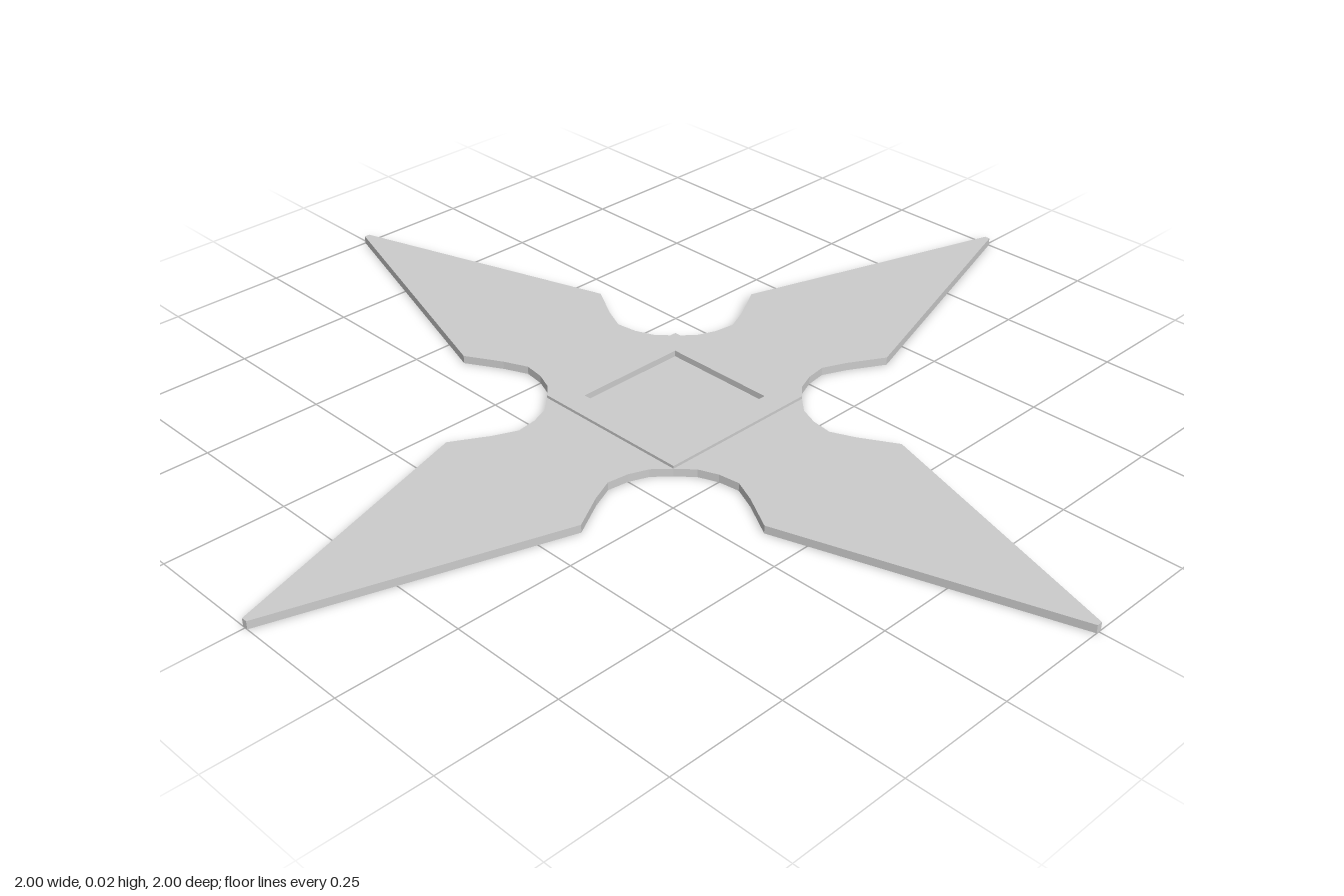
import * as THREE from 'three';

const BLADE_TOP = 0.017, HUB_TOP = 0.023, FLOOR = 0.01;
const HUB = 0.177, RECESS = 0.125;

// Square outline centred on the origin, usable as shape or hole
function square(half, Type = THREE.Shape) {
  return new Type([[-half, -half], [half, -half], [half, half], [-half, half]]
    .map(([x, y]) => new THREE.Vector2(x, y)));
}

// Extrudes a flat shape upwards from y0 to y1
function slab(name, shape, y0, y1, material) {
  const geometry = new THREE.ExtrudeGeometry(shape, { depth: y1 - y0, bevelEnabled: false });
  geometry.rotateX(-Math.PI / 2);
  geometry.translate(0, y0, 0);
  const mesh = new THREE.Mesh(geometry, material);
  mesh.name = name;
  return mesh;
}

// Four pointed blades joined by concave necks
function starOutline() {
  const half = [[1, 0.006], [0.42, 0.19], [0.345, 0.147], [0.295, 0.125],
    [0.25, 0.131], [0.21, 0.147], [HUB, HUB]];
  const quarter = [...half, ...half.slice(0, -1).reverse().map(([x, y]) => [y, x])];
  const points = [];
  for (let i = 0; i < 4; i++) {
    const turn = i * Math.PI / 2;
    for (const [x, y] of quarter) {
      points.push(new THREE.Vector2(x, y).rotateAround(new THREE.Vector2(), turn));
    }
  }
  return new THREE.Shape(points);
}

export function createModel() {
  const model = new THREE.Group();
  model.name = 'throwingStar';
  const material = new THREE.MeshStandardMaterial({ color: 0xcccccc, flatShading: true });

  // Thin star body, open under the recess
  const star = starOutline();
  star.holes.push(square(RECESS, THREE.Path));
  model.add(slab('blades', star, 0, BLADE_TOP, material));

  // Raised square rim around the recess
  const rim = square(HUB);
  rim.holes.push(square(RECESS, THREE.Path));
  model.add(slab('hubRim', rim, BLADE_TOP, HUB_TOP, material));

  // Sunken floor of the hub
  model.add(slab('recessFloor', square(RECESS), 0, FLOOR, material));

  return model;
}
